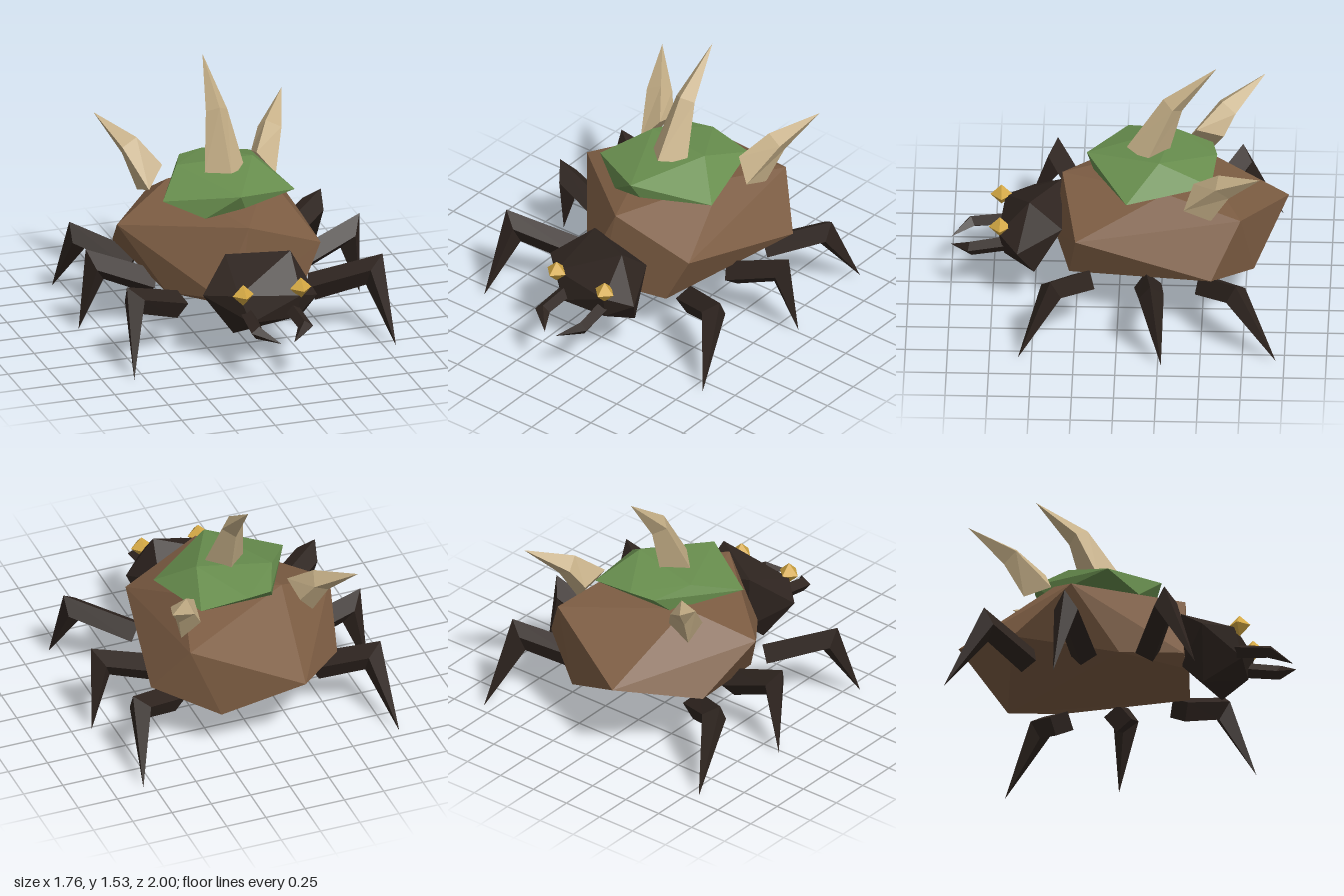
import * as THREE from 'three';
import { ConvexGeometry } from 'three/addons/geometries/ConvexGeometry.js';

const paint = (color) => new THREE.MeshStandardMaterial({ color, flatShading: true });
const V = (p) => new THREE.Vector3(...p);

// Faceted lump wrapped around a few corner points
const lump = (points) => new ConvexGeometry(points.map(V));

// Bent four-sided limb: a diamond ring at each path point, closed at the start, pointed at
// the end. The start ring's normal and the sideways axis can be given.
function limb(path, radii, startNormal, sideAxis) {
  const sides = 4;
  const p = path.map(V);
  const dirs = p.slice(1).map((q, i) => q.clone().sub(p[i]).normalize());
  const side = sideAxis ? V(sideAxis) : dirs[0].clone().cross(dirs[1]);
  const pos = [], index = [];
  p.forEach((c, i) => {
    const before = dirs[Math.max(i - 1, 0)], after = dirs[Math.min(i, dirs.length - 1)];
    const n = i === 0 && startNormal ? V(startNormal).normalize() : before.clone().add(after).normalize();
    const v = n.clone().cross(side).normalize();
    const u = v.clone().cross(n);
    const stretch = i === 0 ? 1 : 1 / n.dot(after);
    for (let k = 0; k < sides; k++) {
      const a = (k / sides) * Math.PI * 2;
      const q = c.clone()
        .addScaledVector(u, Math.cos(a) * radii[i])
        .addScaledVector(v, Math.sin(a) * radii[i] * stretch);
      pos.push(q.x, q.y, q.z);
    }
  });
  for (let i = 0; i < p.length - 1; i++) {
    for (let k = 0; k < sides; k++) {
      const a = i * sides + k, b = i * sides + ((k + 1) % sides);
      index.push(a, b, b + sides);
      if (i < p.length - 2) index.push(a, b + sides, a + sides);
    }
  }
  index.push(0, 2, 1, 0, 3, 2);
  const g = new THREE.BufferGeometry();
  g.setAttribute('position', new THREE.Float32BufferAttribute(pos, 3));
  g.setIndex(index);
  const flat = g.toNonIndexed();
  flat.computeVertexNormals();
  return flat;
}

export function createModel() {
  const model = new THREE.Group();
  const brown = paint(0x7d5d43), green = paint(0x688e4e), horn = paint(0xc6b088);
  const dark = paint(0x2f2520), gold = paint(0xd4a843);
  const add = (name, geometry, material) => {
    const m = new THREE.Mesh(geometry, material);
    m.name = name;
    model.add(m);
    return m;
  };

  // Rock-like shell
  add('body', lump([
    [-0.66, 0.67, -0.21], [0.615, 0.43, -0.56], [-0.2, 0.53, -1.0], [0.43, 0.74, -0.73],
    [0.46, 0.59, 0.25], [-0.02, 0.78, 0.34], [-0.28, 0.84, -0.4], [0.3, 0.84, -0.28],
    [-0.56, 0.41, -0.59], [-0.21, 0.36, 0.37], [-0.1, 0.3, 0.38], [-0.43, 0.3, 0.03],
    [0.32, 0.3, 0.29], [0.26, 0.3, -0.805],
  ]), brown);

  // Moss cap
  add('moss', lump([
    [-0.43, 0.855, -0.04], [-0.25, 0.955, -0.32], [0.2, 0.99, -0.24], [-0.02, 0.92, 0.195],
    [0.4, 0.82, -0.05], [0.29, 0.89, -0.55], [0, 0.93, -0.58], [-0.155, 0.92, -0.55],
    [-0.21, 0.77, 0.1], [0.02, 0.83, 0.155], [0.22, 0.79, -0.19], [-0.2, 0.82, -0.45],
  ]), green);

  // Head
  add('head', lump([
    [-0.37, 0.465, 0.52], [-0.17, 0.635, 0.345], [0.175, 0.685, 0.53], [0.32, 0.41, 0.6],
    [0.25, 0.245, 0.5], [-0.165, 0.18, 0.48], [0.21, 0.52, 0.335], [-0.15, 0.3, 0.35],
    [-0.2, 0.5, 0.68], [0.18, 0.47, 0.715], [-0.13, 0.33, 0.71], [0.16, 0.32, 0.68],
  ]), dark);

  // Central horn
  add('centreHorn', limb([[0, 0.95, -0.165], [0, 1.275, -0.315], [0, 1.535, -0.575]],
    [0.125, 0.067, 0], [0, 0.97, -0.2], [1, 0, 0]), horn);

  const legs = {
    front: [[0.42, 0.29, 0.2], [0.75, 0.43, 0.385], [0.82, 0.005, 0.58]],
    middle: [[0.45, 0.29, -0.18], [0.8, 0.435, -0.21], [0.88, 0.005, -0.27]],
    back: [[0.45, 0.29, -0.52], [0.74, 0.415, -0.71], [0.815, 0.005, -0.95]],
  };

  // Mirrored parts
  for (const [s, label] of [[1, 'left'], [-1, 'right']]) {
    const flip = (path) => path.map(([x, y, z]) => [s * x, y, z]);
    add(label + 'Horn', limb(flip([[0.357, 0.82, -0.5], [0.44, 0.985, -0.63], [0.59, 1.13, -0.85]]),
      [0.122, 0.075, 0], ...flip([[0.8, 0.59, -0.1], [0.48, -0.77, -0.43]])), horn);
    add(label + 'Eye', new THREE.OctahedronGeometry(0.067), gold).position.set(s * 0.18, 0.515, 0.705);
    add(label + 'Mandible', limb(flip([[0.135, 0.375, 0.64], [0.15, 0.34, 0.88], [0.04, 0.3, 1.0]]), [0.046, 0.042, 0]), dark);
    for (const [place, path] of Object.entries(legs)) {
      add(label + place[0].toUpperCase() + place.slice(1) + 'Leg', limb(flip(path), [0.082, 0.076, 0]), dark);
    }
  }
  return model;
}
